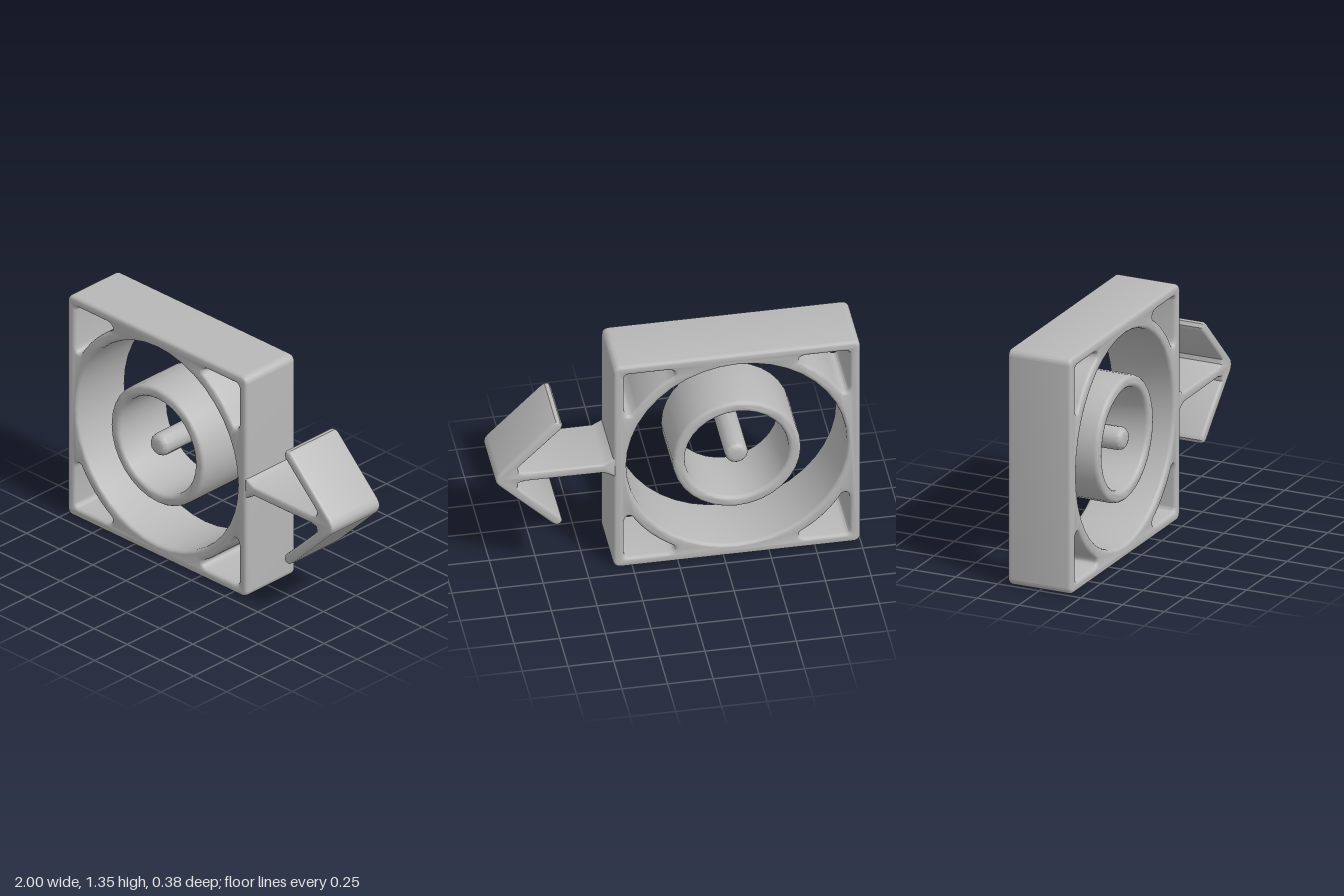
import * as THREE from 'three';
import { toCreasedNormals } from 'three/addons/utils/BufferGeometryUtils.js';

const CX = -0.323, CY = 0.682; // centre shared by the frame, ring and pin
const HALF = 0.677, DEPTH = 0.38;

export function createModel() {
  const model = new THREE.Group();
  model.name = 'targetSign';
  const grey = new THREE.MeshStandardMaterial({ color: 0xb8b8b8 });
  grey.name = 'plainGrey';

  // Extrude a shape along z with softened edges that stay within the outline
  function slab(name, shape, bevel, curveSegments, depth = DEPTH) {
    const thick = bevel * 1.2;
    const geo = new THREE.ExtrudeGeometry(shape, {
      depth: depth - 2 * thick, curveSegments,
      bevelEnabled: true, bevelThickness: thick,
      bevelSize: bevel, bevelOffset: -bevel, bevelSegments: 3,
    });
    geo.translate(0, 0, thick - depth / 2);
    const mesh = new THREE.Mesh(toCreasedNormals(geo, 0.6), grey);
    mesh.name = name;
    mesh.position.set(CX, CY, 0);
    model.add(mesh);
    return mesh;
  }

  function circle(Type, r) {
    return new Type().absarc(0, 0, r, 0, Math.PI * 2, false);
  }

  // Square frame with a round opening and four corner pockets
  const r = 0.04, c = HALF - r;
  const frame = new THREE.Shape();
  frame.absarc(c, c, r, 0, Math.PI / 2);
  frame.absarc(-c, c, r, Math.PI / 2, Math.PI);
  frame.absarc(-c, -c, r, Math.PI, Math.PI * 1.5);
  frame.absarc(c, -c, r, Math.PI * 1.5, Math.PI * 2);
  frame.closePath();
  frame.holes.push(circle(THREE.Path, 0.605));
  for (const sx of [1, -1]) for (const sy of [1, -1]) {
    const p = new THREE.Path();
    p.moveTo(0.618 * sx, 0.38 * sy);
    p.lineTo(0.618 * sx, 0.59 * sy);
    p.quadraticCurveTo(0.618 * sx, 0.618 * sy, 0.59 * sx, 0.618 * sy);
    p.lineTo(0.38 * sx, 0.618 * sy);
    p.quadraticCurveTo(0.325 * sx, 0.612 * sy, 0.345 * sx, 0.574 * sy);
    for (let i = 1; i <= 6; i++) {
      const a = THREE.MathUtils.degToRad(59 - i * 28 / 6);
      p.lineTo(0.67 * Math.cos(a) * sx, 0.67 * Math.sin(a) * sy);
    }
    p.quadraticCurveTo(0.612 * sx, 0.325 * sy, 0.618 * sx, 0.38 * sy);
    frame.holes.push(p);
  }
  slab('frame', frame, 0.018, 20);

  // Inner ring
  const ring = circle(THREE.Shape, 0.352);
  ring.holes.push(circle(THREE.Path, 0.285));
  slab('innerRing', ring, 0.02, 16);

  // Centre pin
  slab('centrePin', circle(THREE.Shape, 0.065), 0.032, 6);

  // Arrow: flared shaft and swept head in one outline
  const half = [
    [0.66, 0.07], [0.69, 0.05], [0.73, 0.029], [1.16, 0.027],
    [1.195, 0.036], [1.2, 0.062], [1.18, 0.085],
    [0.962, 0.298], [0.955, 0.322], [0.966, 0.343], [0.99, 0.346], [1.012, 0.332],
    [1.30, 0.045], [1.317, 0.022],
  ];
  const outline = [...half, [1.322, 0], ...half.map(([x, y]) => [x, -y]).reverse()];
  const arrow = new THREE.Shape(outline.map(([x, y]) => new THREE.Vector2(x, y)).reverse());
  slab('arrow', arrow, 0.014, 4, 0.374);

  return model;
}
